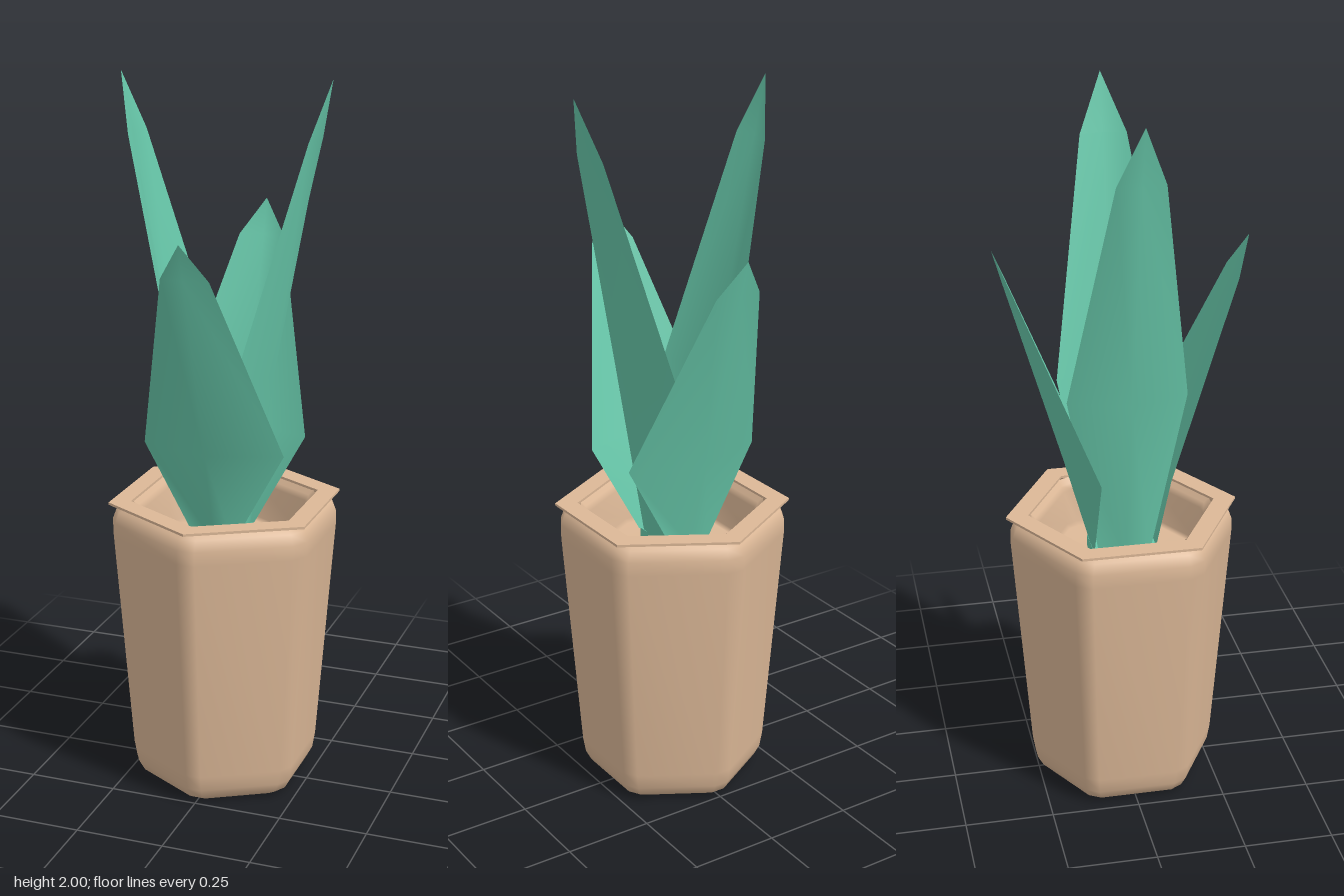
import * as THREE from 'three';

const clay = new THREE.MeshStandardMaterial({ color: 0xdcb897, side: THREE.DoubleSide });
clay.name = 'clay';
const green = new THREE.MeshStandardMaterial({ color: 0x68c9ab, side: THREE.DoubleSide });
green.name = 'leafGreen';

// Hexagon with corners on the z axis, each corner cut by a small fraction
function hexRing(apothem, cut) {
  const r = apothem / Math.cos(Math.PI / 6);
  const corner = (k) => new THREE.Vector2(Math.sin(k * Math.PI / 3), Math.cos(k * Math.PI / 3)).multiplyScalar(r);
  const points = [];
  for (let k = 0; k < 6; k++) {
    const c = corner(k);
    if (cut === 0) points.push(c);
    else points.push(c.clone().lerp(corner(k - 1), cut), c.clone().lerp(corner(k + 1), cut));
  }
  return points;
}

// Sweeps a profile of [apothem, height] pairs around the hexagon
function hexLoft(profile, cut) {
  const pos = [], index = [];
  profile.forEach(([a, y], i) => {
    const ring = hexRing(a, cut), n = ring.length;
    ring.forEach((p, j) => {
      pos.push(p.x, y, p.y);
      if (i === profile.length - 1) return;
      const s = i * n + j, t = i * n + (j + 1) % n;
      index.push(s, t, s + n, t, t + n, s + n);
    });
  });
  return finish(pos, index);
}

function finish(pos, index) {
  const g = new THREE.BufferGeometry();
  g.setAttribute('position', new THREE.Float32BufferAttribute(pos, 3));
  g.setIndex(index);
  g.computeVertexNormals();
  return g;
}

function flat(geometry) {
  const g = geometry.toNonIndexed();
  g.computeVertexNormals();
  return g;
}

// Folded leaf leaning towards +z; rows are [y, half width, edge z, spine z]
function leafGeometry(rows) {
  const pos = [], index = [];
  rows.forEach(([y, w, edge, spine], i) => {
    pos.push(-w, y, edge, 0, y, spine, w, y, edge);
    if (i === rows.length - 1) return;
    for (let j = 0; j < 2; j++) {
      const s = i * 3 + j;
      index.push(s, s + 1, s + 3);
      if (i < rows.length - 2) index.push(s + 1, s + 4, s + 3);
      else index[index.length - 1] = (i + 1) * 3 + 1; // all meet at the tip
    }
  });
  return finish(pos, index);
}

export function createModel() {
  const model = new THREE.Group();
  model.name = 'pottedPlant';
  const add = (parent, name, geometry, material) => {
    const mesh = new THREE.Mesh(geometry, material);
    mesh.name = name;
    parent.add(mesh);
    return mesh;
  };

  // Pot: rounded outer shell, thin flat rim and inner well
  const pot = new THREE.Group();
  pot.name = 'pot';
  model.add(pot);
  add(pot, 'potBody', hexLoft([
    [0, 0], [0.195, 0], [0.217, 0.015], [0.232, 0.045], [0.239, 0.09],
    [0.284, 0.74], [0.284, 0.78], [0.274, 0.81], [0.25, 0.826],
  ], 0.09), clay);
  add(pot, 'potRim', flat(hexLoft([
    [0.23, 0.828], [0.284, 0.828], [0.284, 0.835], [0.23, 0.835], [0.23, 0.828],
  ], 0)), clay);
  add(pot, 'potWell', hexLoft([
    [0.232, 0.83], [0.22, 0.815], [0.21, 0.8], [0.2, 0.7], [0.19, 0.69], [0, 0.69],
  ], 0.09), clay);

  // Leaves: a short pair front and back, a tall pair left and right
  const plant = new THREE.Group();
  plant.name = 'plant';
  model.add(plant);
  const shortLeaf = leafGeometry([
    [0.73, 0.055, 0.088, 0.09], [1.0, 0.202, 0.095, 0.165],
    [1.515, 0.067, 0.305, 0.318], [1.615, 0, 0.347, 0.347],
  ]);
  const tallLeaf = leafGeometry([
    [0.7, 0.07, 0.045, 0.055], [1.2, 0.166, 0.08, 0.142],
    [1.84, 0.065, 0.25, 0.262], [2.0, 0, 0.295, 0.295],
  ]);
  ['frontLeaf', 'leftLeaf', 'backLeaf', 'rightLeaf'].forEach((name, i) => {
    add(plant, name, i % 2 ? tallLeaf : shortLeaf, green).rotation.y = i * Math.PI / 2;
  });

  // Heart joining the leaf bases
  const heart = add(plant, 'leafHeart', new THREE.BoxGeometry(0.1, 0.04, 0.18), green);
  heart.position.y = 0.71;

  return model;
}
